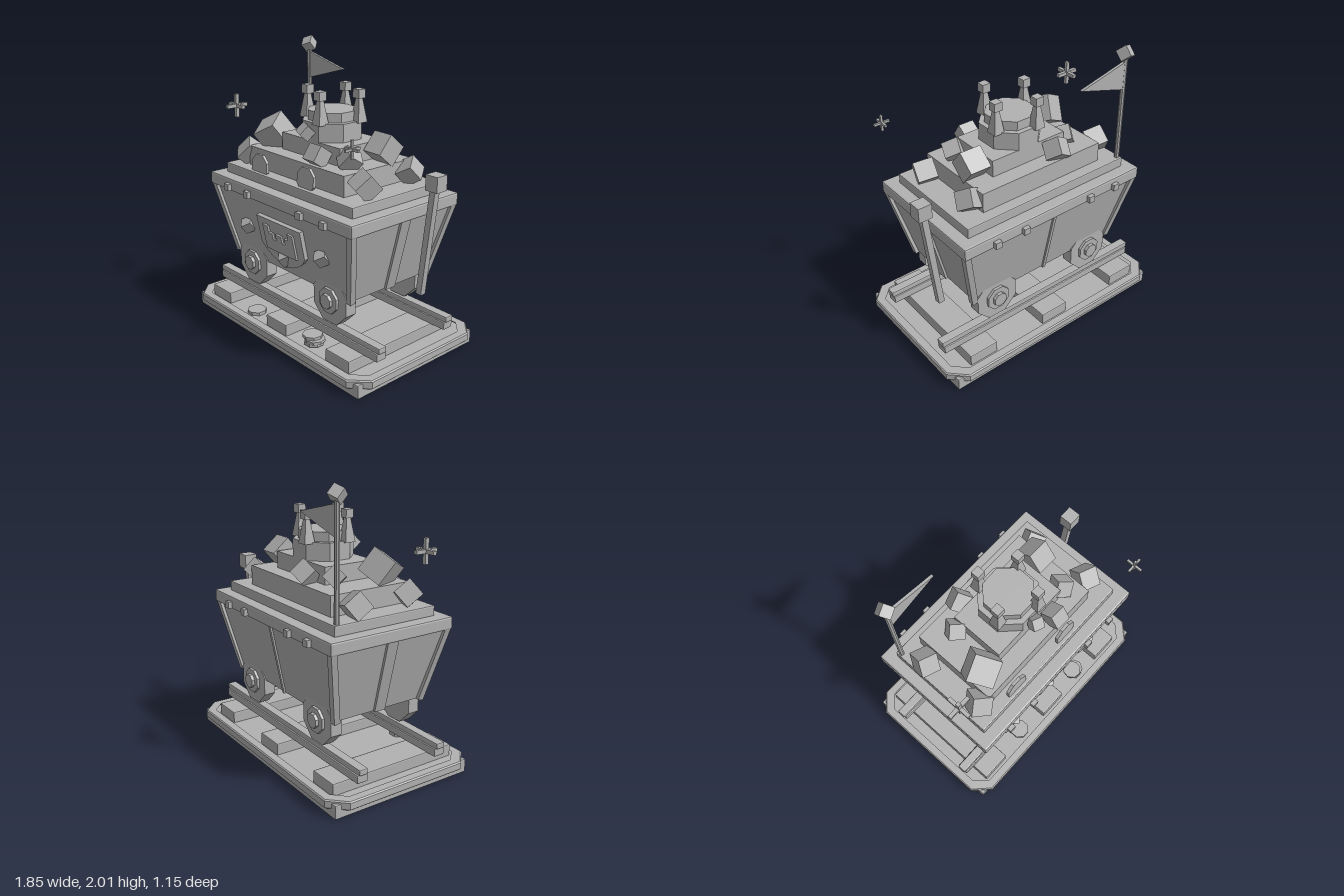
import * as THREE from 'three';
import { RoundedBoxGeometry } from 'three/addons/geometries/RoundedBoxGeometry.js';

export function createModel() {
  const model = new THREE.Group();
  const grey = new THREE.MeshStandardMaterial({ color: 0xb2b2b2 });
  grey.name = 'stone grey';

  // Faceted normals for every part
  function add(name, geo, x = 0, y = 0, z = 0, rx = 0, ry = 0, rz = 0) {
    const g = geo.index ? geo.toNonIndexed() : geo;
    g.computeVertexNormals();
    const m = new THREE.Mesh(g, grey);
    m.name = name;
    m.position.set(x, y, z);
    m.rotation.set(rx, ry, rz);
    model.add(m);
    return m;
  }
  const box = (w, h, d) => new THREE.BoxGeometry(w, h, d);
  // Bevelled slab given by its extents
  function slab(name, x0, x1, y0, y1, z0, z1, bevel = 0.008) {
    return add(name, new RoundedBoxGeometry(x1 - x0, y1 - y0, z1 - z0, 1, bevel),
      (x0 + x1) / 2, (y0 + y1) / 2, (z0 + z1) / 2);
  }
  // Straight bar between two points
  function beam(name, a, b, w, d) {
    const p = new THREE.Vector3(...a), q = new THREE.Vector3(...b);
    const m = add(name, box(w, p.distanceTo(q), d));
    m.position.copy(p).add(q).multiplyScalar(0.5);
    m.quaternion.setFromUnitVectors(new THREE.Vector3(0, 1, 0), q.sub(p).normalize());
    return m;
  }
  const octagon = (r, h, top = r) => new THREE.CylinderGeometry(top, r, h, 8).rotateY(Math.PI / 8);

  // Base with a raised chamfered border
  slab('baseSlab', -0.885, 0.885, 0, 0.097, -0.543, 0.543);
  const chamfered = (Type, a, b, c) => {
    const s = new Type();
    [[a - c, b], [a, b - c], [a, c - b], [a - c, -b], [c - a, -b], [-a, c - b], [-a, b - c], [c - a, b]]
      .forEach(([x, y], i) => (i ? s.lineTo(x, y) : s.moveTo(x, y)));
    s.closePath();
    return s;
  };
  const border = chamfered(THREE.Shape, 0.917, 0.566, 0.11);
  border.holes.push(chamfered(THREE.Path, 0.862, 0.512, 0.09));
  add('baseBorder', new THREE.ExtrudeGeometry(border, {
    depth: 0.045, bevelSize: 0.008, bevelThickness: 0.008, bevelSegments: 1,
  }), 0, 0.063, 0, -Math.PI / 2);

  // Track
  for (const x of [-0.67, -0.003, 0.63]) slab('sleeper', x - 0.112, x + 0.112, 0.09, 0.18, -0.49, 0.49);
  for (const z of [-0.318, 0.318]) {
    slab('railFoot', -0.86, 0.86, 0.175, 0.232, z - 0.042, z + 0.042);
    slab('railHead', -0.87, 0.87, 0.23, 0.272, z - 0.033, z + 0.033);
  }

  // Loose coins on the base
  add('coin', octagon(0.07, 0.024), -0.32, 0.109, 0.42);
  [[0.325, 0.125], [0.335, 0.146], [0.31, 0.17]].forEach(([x, y], i) =>
    add('stackedCoin', octagon(0.07, 0.02), x, y, 0.42, 0, i * 0.3));

  // Wheels and axles
  for (const x of [-0.42, 0.42]) {
    add('axle', octagon(0.036, 0.78), x, 0.45, 0, Math.PI / 2);
    for (const s of [-1, 1]) {
      add('wheel', octagon(0.173, 0.085), x, 0.45, s * 0.323, Math.PI / 2);
      add('wheelPlate', octagon(0.092, 0.02), x, 0.45, s * 0.375, Math.PI / 2);
      add('hub', octagon(0.052, 0.03), x, 0.45, s * 0.393, Math.PI / 2);
    }
  }

  // Tapered tub
  const tub = box(2, 0.51, 2);
  const tp = tub.attributes.position;
  for (let i = 0; i < tp.count; i++) {
    const top = tp.getY(i) > 0;
    tp.setX(i, tp.getX(i) * (top ? 0.725 : 0.6));
    tp.setZ(i, tp.getZ(i) * (top ? 0.455 : 0.352));
  }
  add('tub', tub, 0, 0.75, 0);
  for (const sx of [-1, 1]) {
    for (const sz of [-1, 1]) beam('cornerPost', [sx * 0.602, 0.49, sz * 0.346], [sx * 0.726, 1.02, sz * 0.458], 0.045, 0.045);
    beam('endStrip', [sx * 0.602, 0.495, 0], [sx * 0.727, 1.005, 0], 0.03, 0.085);
  }
  beam('backStrip', [0, 0.49, -0.352], [0, 1.01, -0.457], 0.024, 0.024);

  // Rim and bolts
  slab('rim', -0.752, 0.752, 1.0, 1.09, -0.487, 0.487, 0.012);
  for (const x of [-0.515, -0.285, 0.28, 0.51])
    for (const z of [-0.492, 0.492]) add('rimBolt', box(0.048, 0.048, 0.048), x, 1.03, z);

  // Stepped load
  slab('loadTop', -0.67, 0.665, 1.085, 1.16, -0.402, 0.398);
  add('lowerStep', box(0.995, 0.15, 0.625), -0.012, 1.225, -0.008);
  add('middleStep', box(0.6, 0.13, 0.39), 0.018, 1.355, -0.01);

  // Octagonal keep with four spires
  add('keep', octagon(0.213, 0.13), 0.025, 1.48, -0.01);
  add('keepTop', octagon(0.175, 0.07), 0.025, 1.575, -0.01);
  for (const [x, z] of [[-0.05, -0.195], [0.2, -0.088], [0.1, 0.165], [-0.153, 0.06]]) {
    add('spire', new THREE.CylinderGeometry(0.022, 0.057, 0.165, 4).rotateY(Math.PI / 4), x, 1.618, z);
    add('spireBlock', box(0.06, 0.06, 0.06), x, 1.728, z);
  }

  // Tumbled blocks: x, y, z, size
  [
    [-0.41, 1.39, 0.15, 0.185], [-0.56, 1.235, 0.26, 0.135], [-0.595, 1.235, -0.19, 0.135],
    [0.415, 1.39, -0.11, 0.155], [0.535, 1.24, -0.24, 0.125], [0.37, 1.35, 0.15, 0.115],
    [0.57, 1.24, 0.205, 0.135], [0.18, 1.36, 0.26, 0.115], [-0.16, 1.36, -0.275, 0.125],
    [-0.325, 1.36, -0.16, 0.11], [0.02, 1.485, 0.225, 0.08],
  ].forEach(([x, y, z, s], i) =>
    add('block', box(s, s, s), x, y, z, 0.45 + 0.1 * (i % 3), 0.5 + 0.35 * (i % 4), 0.3 + 0.12 * (i % 2)));

  // Coins leaning on the load
  add('leaningCoin', octagon(0.09, 0.022), -0.31, 1.2, 0.36, Math.PI / 2 - 0.06);
  add('leaningCoin', octagon(0.09, 0.022), 0.18, 1.215, 0.355, Math.PI / 2 - 0.06);

  // Shield with a castle on the front face
  const shield = new THREE.Shape();
  shield.moveTo(-0.235, 0.15);
  shield.lineTo(-0.235, -0.06);
  shield.quadraticCurveTo(-0.18, -0.155, 0, -0.2);
  shield.quadraticCurveTo(0.18, -0.155, 0.235, -0.06);
  shield.lineTo(0.235, 0.15);
  const castle = new THREE.Shape();
  [[-0.16, -0.08], [0.16, -0.08], [0.16, 0.105], [0.105, 0.105], [0.105, 0.055], [0.065, 0.055], [0.065, 0.01],
    [0.03, 0.01], [0.03, 0.06], [-0.03, 0.06], [-0.03, 0.01], [-0.065, 0.01], [-0.065, 0.055], [-0.105, 0.055],
    [-0.105, 0.105], [-0.16, 0.105]].forEach(([x, y], i) => (i ? castle.lineTo(x, y) : castle.moveTo(x, y)));
  const plate = (s, depth) => new THREE.ExtrudeGeometry(s, { depth, bevelEnabled: false, curveSegments: 4 });
  add('shield', plate(shield, 0.035), 0, 0.75, 0.398, 0.2);
  add('shieldCastle', plate(castle, 0.05), 0, 0.75, 0.398, 0.2);
  for (const [x, y, z] of [[-0.4, 0.755, 0.41], [0.4, 0.755, 0.41], [0, 0.62, 0.39]])
    add('gem', box(0.08, 0.08, 0.08), x, y, z, 0.6, 0.75, 0.1);

  // Flag
  add('flagPole', new THREE.CylinderGeometry(0.018, 0.018, 0.86, 8), -0.645, 1.5, -0.37);
  add('flagFinial', box(0.078, 0.078, 0.078), -0.645, 1.945, -0.368, 0.75, 0.5, 0);
  const flag = new THREE.Shape();
  flag.moveTo(-0.64, 1.89);
  flag.lineTo(-0.64, 1.69);
  flag.lineTo(-0.26, 1.797);
  add('flag', plate(flag, 0.02), 0, 0, -0.382);

  // Brake lever
  beam('lever', [0.745, 0.45, -0.155], [0.832, 1.22, -0.155], 0.045, 0.045);
  add('leverGrip', box(0.098, 0.105, 0.095), 0.837, 1.247, -0.157);

  // Sparkles made of three crossed bars
  for (const [x, z, l, t] of [[-0.72, 0.257, 0.17, 0.026], [0.72, 0.457, 0.115, 0.016]]) {
    add('sparkle', box(l, t, t), x, 1.548, z);
    add('sparkle', box(t, l, t), x, 1.548, z);
    add('sparkle', box(t, t, l), x, 1.548, z);
  }
  return model;
}
